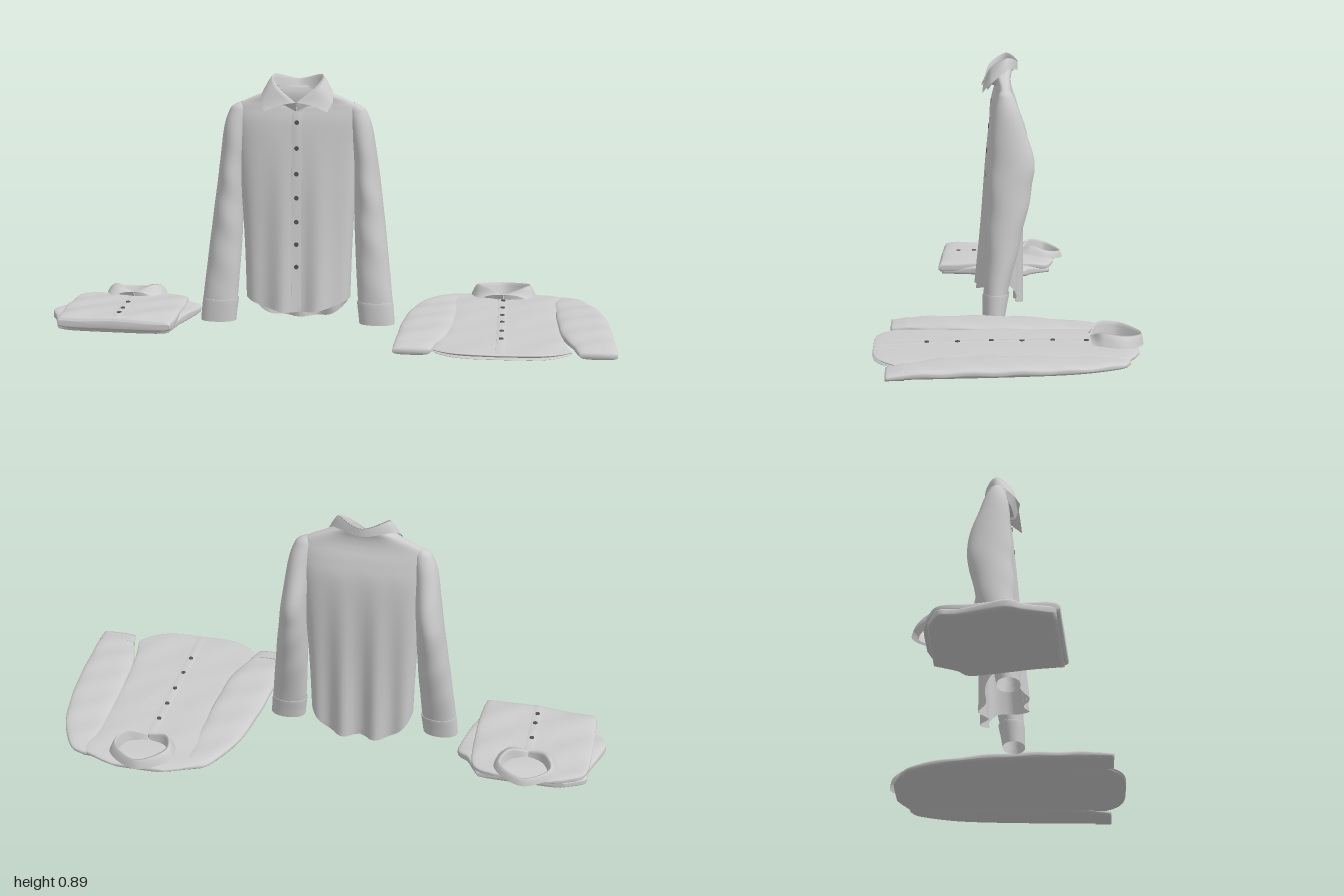
import * as THREE from 'three';

const cloth = new THREE.MeshStandardMaterial({ color: 0xcccccc, side: THREE.DoubleSide });
const dark = new THREE.MeshStandardMaterial({ color: 0x555555 });

// Smooth surface through rows of points; wrap closes each row into a ring
function grid(name, rows, wrap, caps = []) {
  const n = rows[0].length, pos = rows.flat().flatMap(p => [...p]), index = [];
  for (let r = 0; r < rows.length - 1; r++) {
    for (let i = 0; i < (wrap ? n : n - 1); i++) {
      const a = r * n + i, b = r * n + (i + 1) % n;
      index.push(a, a + n, b, b, a + n, b + n);
    }
  }
  for (const r of caps) {
    const centre = [0, 1, 2].map(k => rows[r].reduce((s, p) => s + p[k], 0) / n);
    const c = pos.length / 3;
    pos.push(...centre);
    for (let i = 0; i < n; i++) {
      const a = r * n + i, b = r * n + (i + 1) % n;
      if (r === 0) index.push(c, a, b); else index.push(c, b, a);
    }
  }
  const g = new THREE.BufferGeometry();
  g.setAttribute('position', new THREE.Float32BufferAttribute(pos, 3));
  g.setIndex(index);
  g.computeVertexNormals();
  const mesh = new THREE.Mesh(g, cloth);
  mesh.name = name;
  return mesh;
}

// Loft rounded sections. Upright rows: [y, x0, x1, z0, z1]. Lying rows: [z, x0, x1, y0, y1]
function loft(name, rows, { flat = false, e = 0.75, warp = p => p } = {}) {
  const spline = new THREE.CubicInterpolant(rows.map((_, i) => i), rows.flat(), 5);
  const steps = (rows.length - 1) * 7, rings = [], N = 96;
  const power = v => Math.sign(v) * Math.abs(v) ** e;
  for (let s = 0; s <= steps; s++) {
    const [h, a0, a1, b0, b1] = [...spline.evaluate(s / 7)];
    rings.push(Array.from({ length: N }, (_, i) => {
      const t = i / N * Math.PI * 2;
      const x = (a0 + a1) / 2 + (a1 - a0) / 2 * power(Math.cos(t));
      const d = (b0 + b1) / 2 + (b1 - b0) / 2 * power(Math.sin(t));
      return warp(flat ? [x, d, h] : [x, h, d]);
    }));
  }
  return grid(name, rings, true, flat ? [0, rings.length - 1] : []);
}

// Same part on the left (side 1) or the right (side -1)
const mirrorRows = (rows, side) => side > 0 ? rows : rows.map(([h, a, b, c, d]) => [h, -b, -a, c, d]);

// Collar from half curves (back to front): neck edge, fold and outer leaf edge
function collar(...halves) {
  const [neck, fold, edge] = halves.map(h => new THREE.CatmullRomCurve3([
    ...h.slice(1).reverse().map(([x, y, z]) => new THREE.Vector3(-x, y, z)),
    ...h.map(p => new THREE.Vector3(...p))]).getPoints(60));
  const rows = [];
  for (let k = 0; k <= 4; k++) rows.push(neck.map((p, i) => p.clone().lerp(fold[i], k / 4).toArray()));
  for (let k = 1; k <= 5; k++) {
    rows.push(fold.map((p, i) => {
      const q = p.clone().lerp(edge[i], k / 5);
      q.y += 0.006 * Math.sin(k / 5 * Math.PI);
      return q.toArray();
    }));
  }
  return grid('collar', rows, false);
}

// Point on a garment's front, found by a ray from the front or from above
function onCloth(mesh, flat, x, h, lift) {
  const o = flat ? new THREE.Vector3(x, 1, h) : new THREE.Vector3(x, h, 1);
  const d = flat ? new THREE.Vector3(0, -1, 0) : new THREE.Vector3(0, 0, -1);
  const hit = new THREE.Raycaster(o, d).intersectObject(mesh)[0];
  return hit ? hit.point.addScaledVector(d, -lift) : null;
}

// Button band with its row of buttons
function placket(mesh, flat, h0, h1, buttons) {
  const group = new THREE.Group();
  group.name = 'buttonPlacket';
  const rows = [];
  for (let i = 0; i <= 40; i++) {
    const h = h0 + (h1 - h0) * i / 40;
    const row = [[-0.017, -0.001], [-0.016, 0.002], [0, 0.002], [0.016, 0.002], [0.017, -0.001]]
      .map(([x, lift]) => onCloth(mesh, flat, x, h, lift));
    if (row.every(p => p)) rows.push(row.map(p => p.toArray()));
  }
  group.add(grid('band', rows, false));
  for (const h of buttons) {
    const b = new THREE.Mesh(new THREE.CylinderGeometry(0.008, 0.008, 0.004, 16), dark);
    b.name = 'button';
    b.position.copy(onCloth(mesh, flat, 0, h, 0.003));
    if (!flat) b.rotation.x = Math.PI / 2;
    group.add(b);
  }
  return group;
}

function hangingShirt() {
  const g = new THREE.Group();
  g.name = 'hangingShirt';
  const body = loft('body', [
    [0.1, -0.185, 0.185, -0.068, 0.085], [0.3, -0.192, 0.192, -0.068, 0.07],
    [0.5, -0.204, 0.204, -0.07, 0.06], [0.65, -0.213, 0.213, -0.063, 0.05],
    [0.73, -0.22, 0.22, -0.046, 0.042], [0.778, -0.216, 0.216, -0.03, 0.031],
    [0.802, -0.185, 0.185, -0.025, 0.028], [0.824, -0.135, 0.135, -0.025, 0.033],
    [0.842, -0.095, 0.095, -0.03, 0.042], [0.852, -0.075, 0.075, -0.036, 0.05]], {
    warp: ([x, y, z]) => {
      // draped folds that deepen downwards, curved shirt tails, lowered front neck
      const low = Math.max(0, 1 - (y - 0.1) / 0.6), mid = Math.max(0, 1 - (x / 0.185) ** 2);
      const front = z > 0;
      const ripple = (front ? 0.013 * Math.sin(x * 48 + 4) : 0.016 + 0.018 * Math.cos(x * 52)) * low * mid;
      const tail = (front ? 0.042 * mid : 0.09 * Math.max(0, 1 - (x / 0.185) ** 4)) * Math.max(0, 1 - (y - 0.1) / 0.4);
      const neck = front && y > 0.78 ? (y - 0.78) / 0.07 * 0.06 * Math.max(0, 1 - (x / 0.09) ** 2) : 0;
      return [x, y - tail - neck, z + ripple + (front ? 0.01 * low * mid : 0)];
    } });
  g.add(body, placket(body, false, 0.065, 0.765, [0.73, 0.64, 0.55, 0.465, 0.38, 0.3, 0.22]));
  for (const side of [1, -1]) {
    const crease = ([x, y, z]) => [x, y, z + 0.002 * Math.sin(y * 40 + x * 30) * Math.sin(Math.PI * Math.min(1, y / 0.8))];
    g.add(loft('sleeve', mirrorRows([
      [0.796, 0.195, 0.2, -0.004, 0.004], [0.785, 0.185, 0.226, -0.018, 0.018],
      [0.765, 0.18, 0.243, -0.03, 0.028], [0.7, 0.185, 0.264, -0.055, 0.042],
      [0.55, 0.193, 0.285, -0.099, 0.052], [0.45, 0.197, 0.298, -0.09, 0.057],
      [0.3, 0.202, 0.316, -0.058, 0.065], [0.1, 0.215, 0.338, -0.008, 0.077],
      [0.03, 0.222, 0.343, 0.004, 0.078]], side), { e: 1, warp: crease }));
    g.add(loft('cuff', mirrorRows([
      [0.093, 0.214, 0.338, -0.01, 0.077], [0.09, 0.212, 0.34, -0.012, 0.08],
      [0.05, 0.217, 0.344, -0.004, 0.081], [0.014, 0.221, 0.347, 0.002, 0.081]], side), { e: 0.95 }));
  }
  g.add(collar(
    [[0, 0.84, -0.034], [0.075, 0.835, -0.01], [0.065, 0.805, 0.035], [0.001, 0.77, 0.056]],
    [[0, 0.874, -0.05], [0.086, 0.894, -0.008], [0.068, 0.858, 0.048], [0.001, 0.803, 0.07]],
    [[0, 0.842, -0.05], [0.108, 0.85, -0.012], [0.127, 0.808, 0.045], [0.11, 0.772, 0.078]]));
  g.position.x = -0.116;
  return g;
}

function flatShirt() {
  const g = new THREE.Group();
  g.name = 'flatShirt';
  const body = loft('body', [
    [-0.415, -0.09, 0.09, 0.006, 0.018], [-0.39, -0.16, 0.16, 0.005, 0.024],
    [-0.35, -0.215, 0.215, 0.004, 0.03], [-0.2, -0.205, 0.205, 0.003, 0.033],
    [0, -0.2, 0.2, 0.003, 0.032], [0.2, -0.212, 0.212, 0.003, 0.028],
    [0.354, -0.232, 0.236, 0.004, 0.023], [0.362, -0.232, 0.236, 0.012, 0.014]], {
    flat: true, e: 0.55,
    warp: ([x, y, z]) => [x,
      y > 0.014 ? y + 0.002 * Math.sin(x * 30 + z * 22) * Math.cos(z * 12) : y,
      z + 0.075 * Math.max(0, 1 - (x / 0.235) ** 4) * Math.max(0, (z + 0.1) / 0.46)] });
  g.add(body, placket(body, true, -0.27, 0.425, [-0.25, -0.14, -0.04, 0.06, 0.17, 0.27]));
  const sleeves = new THREE.Group();
  sleeves.name = 'sleeves';
  sleeves.position.x = 0.013;
  for (const side of [1, -1]) {
    sleeves.add(loft('sleeve', mirrorRows([
      [-0.375, 0.16, 0.205, 0.006, 0.02], [-0.34, 0.17, 0.26, 0.004, 0.028],
      [-0.2, 0.175, 0.325, 0.003, 0.035], [0, 0.18, 0.358, 0.003, 0.043],
      [0.2, 0.195, 0.37, 0.003, 0.042], [0.33, 0.235, 0.374, 0.004, 0.034],
      [0.39, 0.252, 0.375, 0.006, 0.02]], side), {
      flat: true, e: 0.7,
      warp: ([x, y, z]) => [x, y > 0.015 ? y + 0.002 * Math.sin(z * 38 + x * 25) : y, z] }));
    sleeves.add(loft('cuff', mirrorRows([
      [0.335, 0.235, 0.375, 0.002, 0.033], [0.34, 0.235, 0.376, 0.001, 0.035],
      [0.395, 0.25, 0.377, 0.002, 0.024]], side), { flat: true, e: 0.7 }));
  }
  g.add(sleeves, collar(
    [[0, 0.016, -0.41], [0.085, 0.024, -0.355], [0.07, 0.03, -0.295], [0.001, 0.032, -0.268]],
    [[0, 0.06, -0.428], [0.093, 0.072, -0.36], [0.076, 0.079, -0.292], [0.001, 0.052, -0.26]],
    [[0, 0.023, -0.436], [0.113, 0.032, -0.37], [0.11, 0.038, -0.3], [0.085, 0.038, -0.26]]));
  g.position.x = 0.61;
  return g;
}

function foldedShirt() {
  const g = new THREE.Group();
  g.name = 'foldedShirt';
  // soft wrinkles, and a front fold that runs slightly askew
  const wrinkle = ([x, y, z]) => [x,
    y > 0.02 ? y + 0.0025 * Math.sin(x * 26 + z * 35) : y,
    z + 0.06 * x * Math.max(0, z / 0.23)];
  // folded sleeves and back underneath, front panel on top
  g.add(loft('foldedSleeves', [
    [-0.188, -0.14, 0.165, 0.003, 0.026], [-0.155, -0.21, 0.188, 0.003, 0.034],
    [-0.115, -0.217, 0.212, 0.001, 0.038], [-0.075, -0.222, 0.253, 0.001, 0.042],
    [0.05, -0.262, 0.228, 0.001, 0.046], [0.12, -0.24, 0.208, 0.001, 0.044],
    [0.215, -0.213, 0.192, 0.002, 0.038]], { flat: true, e: 0.45, warp: wrinkle }));
  const front = loft('frontPanel', [
    [-0.205, -0.08, 0.1, 0.024, 0.038], [-0.185, -0.15, 0.165, 0.022, 0.045],
    [-0.14, -0.21, 0.193, 0.02, 0.052], [0, -0.22, 0.203, 0.018, 0.057],
    [0.14, -0.217, 0.203, 0.014, 0.06], [0.21, -0.214, 0.196, 0.008, 0.056],
    [0.227, -0.211, 0.193, 0.018, 0.042]], { flat: true, e: 0.45, warp: wrinkle });
  g.add(front, placket(front, true, -0.09, 0.222, [0.01, 0.1, 0.16]));
  g.add(collar(
    [[0, 0.03, -0.225], [0.078, 0.045, -0.175], [0.058, 0.052, -0.125], [0.001, 0.055, -0.098]],
    [[0, 0.062, -0.236], [0.088, 0.078, -0.18], [0.062, 0.095, -0.125], [0.001, 0.072, -0.09]],
    [[0, 0.035, -0.247], [0.106, 0.05, -0.185], [0.1, 0.062, -0.115], [0.072, 0.062, -0.063]]));
  g.position.x = -0.735;
  return g;
}

export function createModel() {
  const model = new THREE.Group();
  model.name = 'shirts';
  model.add(foldedShirt(), hangingShirt(), flatShirt());
  return model;
}
